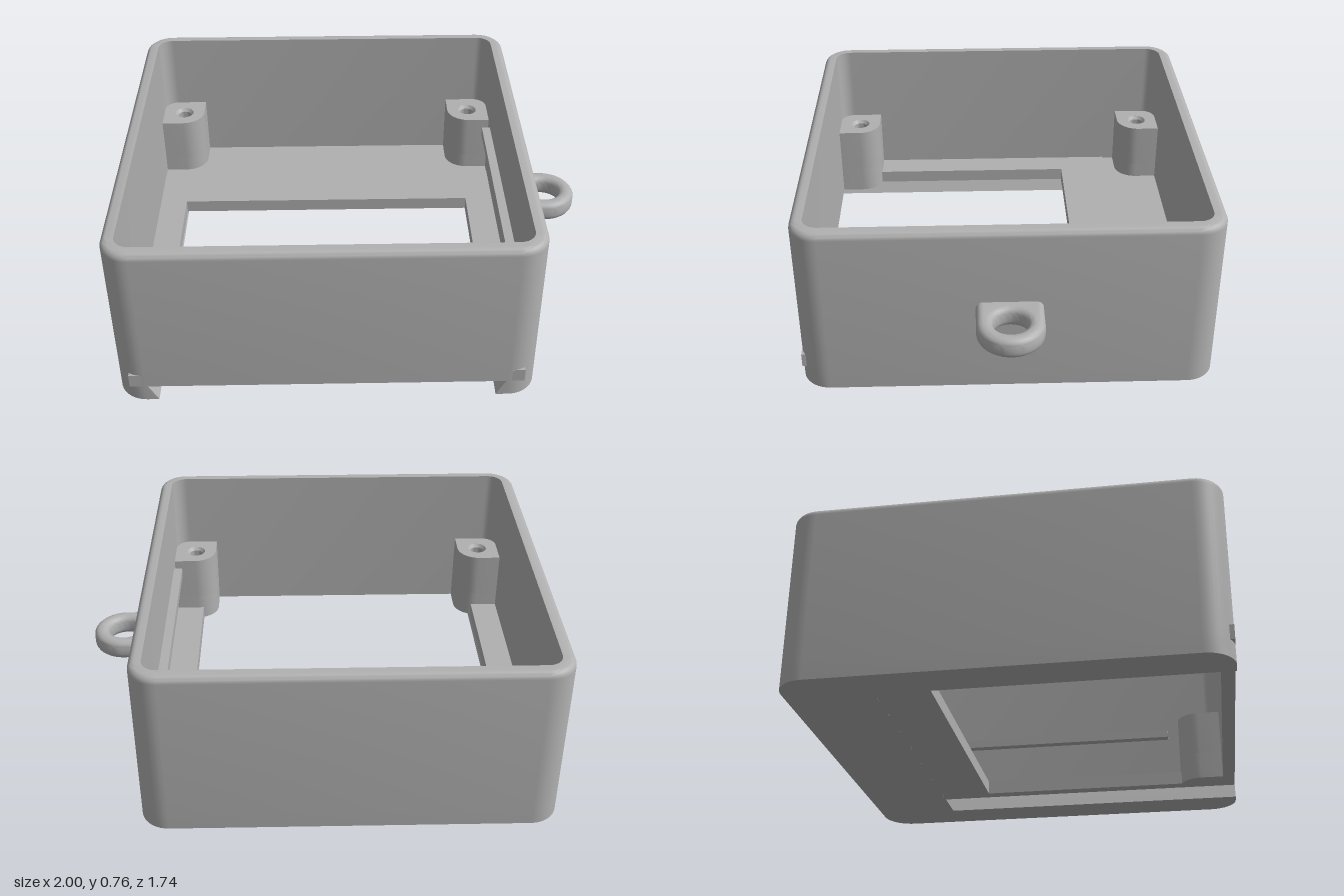
import * as THREE from 'three';
import { toCreasedNormals } from 'three/addons/utils/BufferGeometryUtils.js';

const CX = -0.13, HALF = 0.87, RADIUS = 0.12, WALL = 0.055;
const SLOT_Y = 0.075, PLATE_Y = 0.135, TOP = 0.765, POST_Y = 0.41;

// Rounded-square outline in x/z, starting at the front right corner
function outline(inset) {
  const pts = [], r = RADIUS - inset, c = HALF - RADIUS, n = 10;
  [[1, 1], [-1, 1], [-1, -1], [1, -1]].forEach(([sx, sz], k) => {
    for (let i = 0; i <= n; i++) {
      const a = (k + i / n) * Math.PI / 2;
      pts.push(new THREE.Vector2(CX + sx * c + r * Math.cos(a), sz * c + r * Math.sin(a)));
    }
  });
  return pts;
}

// Extrude an x/z shape between two heights
function slab(shape, y0, y1, options = {}) {
  const g = new THREE.ExtrudeGeometry(shape, { depth: y1 - y0, bevelEnabled: false, curveSegments: 16, ...options });
  return g.rotateX(Math.PI / 2).translate(0, y1, 0);
}

// Walls: a closed profile [inset, height] carried around the outline
function wallGeometry() {
  const profile = [[0, SLOT_Y]], r = 0.03;
  for (let i = 0; i <= 6; i++) {
    const a = i / 6 * Math.PI / 2;
    profile.push([r - r * Math.cos(a), TOP - r + r * Math.sin(a)]);
  }
  profile.push([WALL, TOP], [WALL, SLOT_Y]);
  const pos = [], index = [], m = profile.length;
  const n = outline(0).length;
  profile.forEach(([inset, y]) => outline(inset).forEach(p => pos.push(p.x, y, p.y)));
  for (let j = 0; j < m; j++) {
    for (let i = 0; i < n; i++) {
      const a = j * n + i, b = j * n + (i + 1) % n;
      const c = ((j + 1) % m) * n + i, d = ((j + 1) % m) * n + (i + 1) % n;
      index.push(a, c, b, b, c, d);
    }
  }
  const g = new THREE.BufferGeometry();
  g.setAttribute('position', new THREE.Float32BufferAttribute(pos, 3));
  g.setIndex(index);
  return toCreasedNormals(g, 0.6);
}

// Base frame with a dovetail slot, open at the front and wider at its top
function baseGeometry() {
  const pts = outline(0), corner = pts.length / 4;
  const slot = [[0.7, HALF], [0.7, -0.51], [-0.7, -0.51], [-0.7, HALF]];
  pts.splice(corner, 0, ...slot.map(([x, z]) => new THREE.Vector2(CX + x, z)));
  const g = slab(new THREE.Shape(pts), 0, SLOT_Y);
  const p = g.attributes.position;
  for (let i = 0; i < p.count; i++) {
    const dx = p.getX(i) - CX;
    if (p.getY(i) > SLOT_Y / 2 && Math.abs(dx) < 0.72) {
      p.setX(i, CX + Math.sign(dx) * 0.74);
      if (p.getZ(i) < 0) p.setZ(i, -0.56);
    }
  }
  return toCreasedNormals(g, 0.6);
}

// Post footprint, with one rounded corner facing the middle of the case
function postShape(sx, sz, hole) {
  const pts = [[0.82, 0.82], [0.615, 0.82]], r = 0.1;
  for (let i = 0; i <= 10; i++) {
    const a = i / 10 * Math.PI / 2;
    pts.push([0.615 + r - r * Math.cos(a), 0.615 + r - r * Math.sin(a)]);
  }
  pts.push([0.82, 0.615]);
  const s = new THREE.Shape(pts.map(([x, z]) => new THREE.Vector2(CX + sx * x, sz * z)));
  if (hole) s.holes.push(new THREE.Path().absarc(CX + sx * 0.715, sz * 0.715, 0.045, 0, Math.PI * 2));
  return s;
}

export function createModel() {
  const model = new THREE.Group();
  model.name = 'openCase';
  const grey = new THREE.MeshStandardMaterial({ color: 0xb0b0b0 });
  grey.name = 'grey plastic';

  const add = (name, geometry) => {
    const mesh = new THREE.Mesh(geometry, grey);
    mesh.name = name;
    model.add(mesh);
    return mesh;
  };
  const box = (name, x0, x1, y0, y1, z0, z1) =>
    add(name, new THREE.BoxGeometry(x1 - x0, y1 - y0, z1 - z0))
      .position.set((x0 + x1) / 2, (y0 + y1) / 2, (z0 + z1) / 2);

  add('walls', wallGeometry());
  add('slottedBase', baseGeometry());

  // Inner floor around the large opening; the side strips poke out at the front corners
  box('backFloor', -0.95, 0.69, SLOT_Y, PLATE_Y - 0.005, -0.82, -0.56);
  box('middleFloor', -0.945, 0.685, SLOT_Y, PLATE_Y, -0.56, -0.33);
  box('rightFloorStrip', -0.945, -0.82, SLOT_Y, PLATE_Y, -0.33, 0.869);
  box('leftFloorStrip', 0.555, 0.685, SLOT_Y, PLATE_Y, -0.33, 0.869);

  // Thin rib on the inside of one wall
  box('innerRib', 0.645, 0.69, 0.36, 0.4, -0.56, 0.56);

  // Four screw posts with blind holes
  const holeBottom = 0.2;
  for (const sx of [-1, 1]) {
    for (const sz of [-1, 1]) {
      add('postFoot', toCreasedNormals(slab(postShape(sx, sz, false), SLOT_Y, holeBottom), 0.6));
      add('post', toCreasedNormals(slab(postShape(sx, sz, true), holeBottom, POST_Y), 0.6));
      const profile = [[0.045, POST_Y], [0.033, POST_Y - 0.015], [0.033, holeBottom + 0.002], [0, holeBottom + 0.002]];
      const hole = new THREE.LatheGeometry(profile.map(([x, y]) => new THREE.Vector2(x, y)), 24);
      add('screwHole', toCreasedNormals(hole, 0.6)).position.set(CX + sx * 0.715, 0, sz * 0.715);
    }
  }

  // Rounded lanyard lug on the side
  const lug = new THREE.Shape();
  lug.moveTo(0.72, -0.108);
  lug.lineTo(0.86, -0.108);
  lug.absarc(0.86, 0, 0.108, -Math.PI / 2, Math.PI / 2);
  lug.lineTo(0.72, 0.108);
  lug.closePath();
  lug.holes.push(new THREE.Path().absarc(0.86, 0, 0.101, 0, Math.PI * 2));
  const lugGeometry = slab(lug, 0.37, 0.4, { bevelEnabled: true, bevelThickness: 0.03, bevelSize: 0.03, bevelSegments: 5 });
  add('lanyardLug', toCreasedNormals(lugGeometry, 0.6));

  return model;
}
